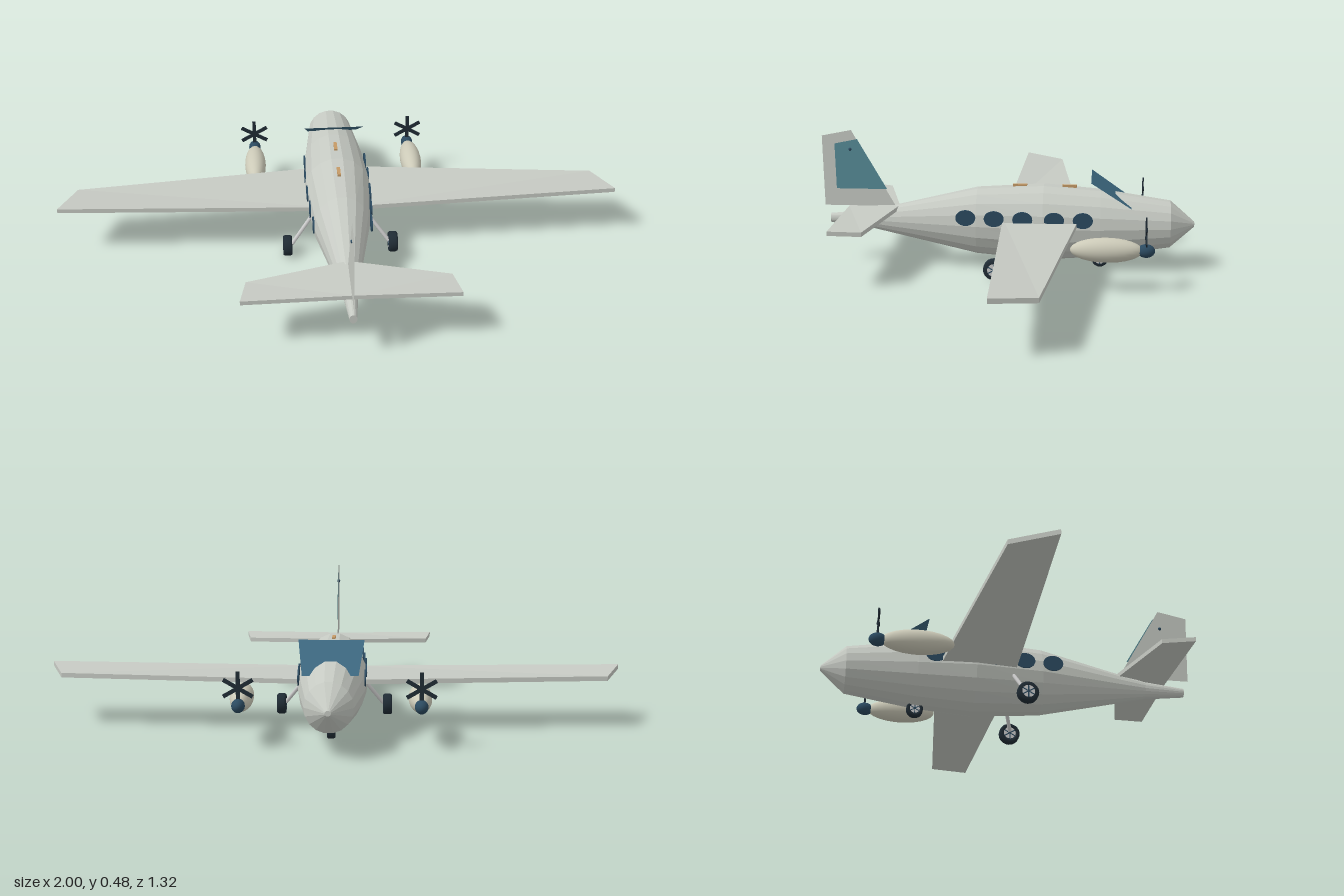
import * as THREE from 'three';

const mat = (color, extra = {}) => new THREE.MeshStandardMaterial({ color, ...extra });
const skin = mat(0xc6cac3, { flatShading: true });
const sheet = mat(0xc6cac3, { side: THREE.DoubleSide });
const cream = mat(0xcccab8);
const navy = mat(0x2b4a60);
const dark = mat(0x202c35);
const glass = mat(0x3d6880, { side: THREE.DoubleSide });
const teal = mat(0x578c98, { side: THREE.DoubleSide });
const orange = mat(0xc59a66);
const grey = mat(0xcccccc);

function add(parent, name, geometry, material, x = 0, y = 0, z = 0) {
  const mesh = new THREE.Mesh(geometry, material);
  mesh.name = name;
  mesh.position.set(x, y, z);
  parent.add(mesh);
  return mesh;
}

// Loft of elliptical rings [z, bottom, top, halfWidth], closed at both ends
function loft(rings, sides) {
  const pos = [], idx = [];
  for (const [z, lo, hi, w] of rings) {
    for (let i = 0; i < sides; i++) {
      const a = (i / sides) * Math.PI * 2;
      pos.push(w * Math.cos(a), (lo + hi) / 2 + ((hi - lo) / 2) * Math.sin(a), z);
    }
  }
  for (let r = 0; r < rings.length - 1; r++) {
    for (let i = 0; i < sides; i++) {
      const a = r * sides + i, b = r * sides + (i + 1) % sides;
      idx.push(a, b, b + sides, a, b + sides, a + sides);
    }
  }
  const last = (rings.length - 1) * sides;
  for (let i = 1; i < sides - 1; i++) {
    idx.push(0, i + 1, i, last, last + i, last + i + 1);
  }
  const g = new THREE.BufferGeometry();
  g.setAttribute('position', new THREE.Float32BufferAttribute(pos, 3));
  g.setIndex(idx);
  g.computeVertexNormals();
  return g;
}

// Box bent to a wing slab; corners are top points: root/tip, leading/trailing
function slab(rootLead, rootTrail, tipLead, tipTrail, thickness) {
  const g = new THREE.BoxGeometry(1, 1, 1);
  const p = g.attributes.position;
  for (let i = 0; i < p.count; i++) {
    const tip = p.getX(i) > 0, trail = p.getZ(i) > 0;
    const c = tip ? (trail ? tipTrail : tipLead) : (trail ? rootTrail : rootLead);
    p.setXYZ(i, c[0], c[1] - (p.getY(i) > 0 ? 0 : thickness), c[2]);
  }
  g.computeVertexNormals();
  return g;
}

// Flat sheet in the plane x = 0 from [z, y] points
function sideSheet(points) {
  const shape = new THREE.Shape(points.map(([z, y]) => new THREE.Vector2(-z, y)));
  return new THREE.ShapeGeometry(shape).rotateY(Math.PI / 2);
}

function rod(parent, name, from, to, radius, material) {
  const a = new THREE.Vector3(...from), b = new THREE.Vector3(...to);
  const mesh = add(parent, name, new THREE.CylinderGeometry(radius, radius, a.distanceTo(b), 8), material);
  mesh.position.copy(a).lerp(b, 0.5);
  mesh.quaternion.setFromUnitVectors(new THREE.Vector3(0, 1, 0), b.sub(a).normalize());
}

// Tyre with a pale rim disc and dark spokes on both faces
function wheel(name, radius, width, x, y, z) {
  const g = new THREE.Group();
  g.name = name;
  g.position.set(x, y, z);
  const h = width / 2, r = radius;
  const profile = [[r * 0.6, -h], [r * 0.9, -h], [r, -h * 0.6], [r, h * 0.6], [r * 0.9, h], [r * 0.6, h], [r * 0.6, -h]]
    .map(([a, b]) => new THREE.Vector2(a, b));
  add(g, 'tyre', new THREE.LatheGeometry(profile, 20).rotateZ(Math.PI / 2), dark);
  add(g, 'rim', new THREE.CylinderGeometry(r * 0.62, r * 0.62, width * 0.9, 20).rotateZ(Math.PI / 2), grey);
  for (let i = 0; i < 3; i++) {
    const spoke = add(g, 'spoke', new THREE.BoxGeometry(width * 0.96, r * 1.2, r * 0.1), navy);
    spoke.rotation.x = (i * Math.PI) / 3;
  }
  return g;
}

// Everything found on one side of the aircraft
function buildSide(name) {
  const g = new THREE.Group();
  g.name = name;
  add(g, 'wing', slab([0.05, 0.187, -0.255], [0.05, 0.184, 0.012], [0.94, 0.186, -0.162], [1, 0.2, -0.016], 0.016), skin);
  add(g, 'tailplane', slab([0, 0.214, 0.385], [0, 0.208, 0.568], [0.34, 0.203, 0.465], [0.36, 0.21, 0.577], 0.015), skin);

  // Engine pod, spinner and six-bladed propeller
  const ball = new THREE.SphereGeometry(1, 24, 16);
  add(g, 'nacelle', ball, cream, 0.295, 0.147, -0.353).scale.set(0.039, 0.042, 0.122);
  add(g, 'spinner', ball, navy, 0.295, 0.147, -0.485).scale.set(0.022, 0.023, 0.03);
  const prop = new THREE.Group();
  prop.name = 'propeller';
  prop.position.set(0.295, 0.205, -0.485);
  for (let i = 0; i < 3; i++) {
    add(prop, 'bladePair', new THREE.BoxGeometry(0.013, 0.11, 0.005), dark).rotation.z = (i * Math.PI) / 3;
  }
  g.add(prop);

  // Oval cabin windows
  for (const [x, z] of [[0.101, 0.14], [0.108, 0.04], [0.113, -0.06], [0.115, -0.17], [0.112, -0.27]]) {
    const w = add(g, 'window', new THREE.CylinderGeometry(1, 1, 0.005, 24).rotateZ(Math.PI / 2), navy, x, 0.197, z);
    w.scale.set(1, 0.028, 0.035);
  }

  // Main landing gear
  rod(g, 'mainStrut', [0.175, 0.045, 0.033], [0.09, 0.155, -0.005], 0.007, grey);
  g.add(wheel('mainWheel', 0.037, 0.032, 0.19, 0.04, 0.033));
  return g;
}

export function createModel() {
  const model = new THREE.Group();
  model.name = 'aeroplane';

  add(model, 'fuselage', loft([
    [-0.66, 0.155, 0.173, 0.01],
    [-0.575, 0.08, 0.247, 0.08],
    [-0.33, 0.042, 0.284, 0.11],
    [-0.13, 0.027, 0.3, 0.122],
    [0.105, 0.045, 0.285, 0.1],
    [0.39, 0.108, 0.217, 0.045],
    [0.49, 0.13, 0.195, 0.026],
    [0.634, 0.147, 0.18, 0.013],
  ], 18), skin);

  const left = buildSide('leftSide');
  const right = buildSide('rightSide');
  right.scale.x = -1;
  model.add(left, right);

  // Tilted windscreen sheet: lower edge forward, upper edge aft
  const screen = new THREE.PlaneGeometry(1, 1);
  const p = screen.attributes.position;
  for (let i = 0; i < p.count; i++) {
    const upper = p.getY(i) > 0;
    p.setXYZ(i, Math.sign(p.getX(i)) * (upper ? 0.11 : 0.092), upper ? 0.331 : 0.237, upper ? -0.297 : -0.437);
  }
  screen.computeVertexNormals();
  add(model, 'windscreen', screen, glass);

  // Thin fin, with a coloured panel on its left face and a small lamp
  add(model, 'fin', sideSheet([[0.66, 0.463], [0.555, 0.484], [0.4, 0.21], [0.654, 0.21]]), sheet);
  add(model, 'finPanel', sideSheet([[0.615, 0.435], [0.534, 0.452], [0.43, 0.272], [0.611, 0.272]]), teal, 0.002);
  add(model, 'finLamp', new THREE.SphereGeometry(0.006, 10, 8), navy, 0, 0.415, 0.56);

  // Roof markers
  for (const z of [-0.22, -0.045]) {
    add(model, 'roofMarker', new THREE.BoxGeometry(0.012, 0.012, 0.05), orange, 0, 0.293, z);
  }

  // Nose gear
  rod(model, 'noseStrut', [0, 0.03, -0.33], [0, 0.08, -0.33], 0.007, grey);
  model.add(wheel('noseWheel', 0.029, 0.028, 0, 0.032, -0.33));
  return model;
}
